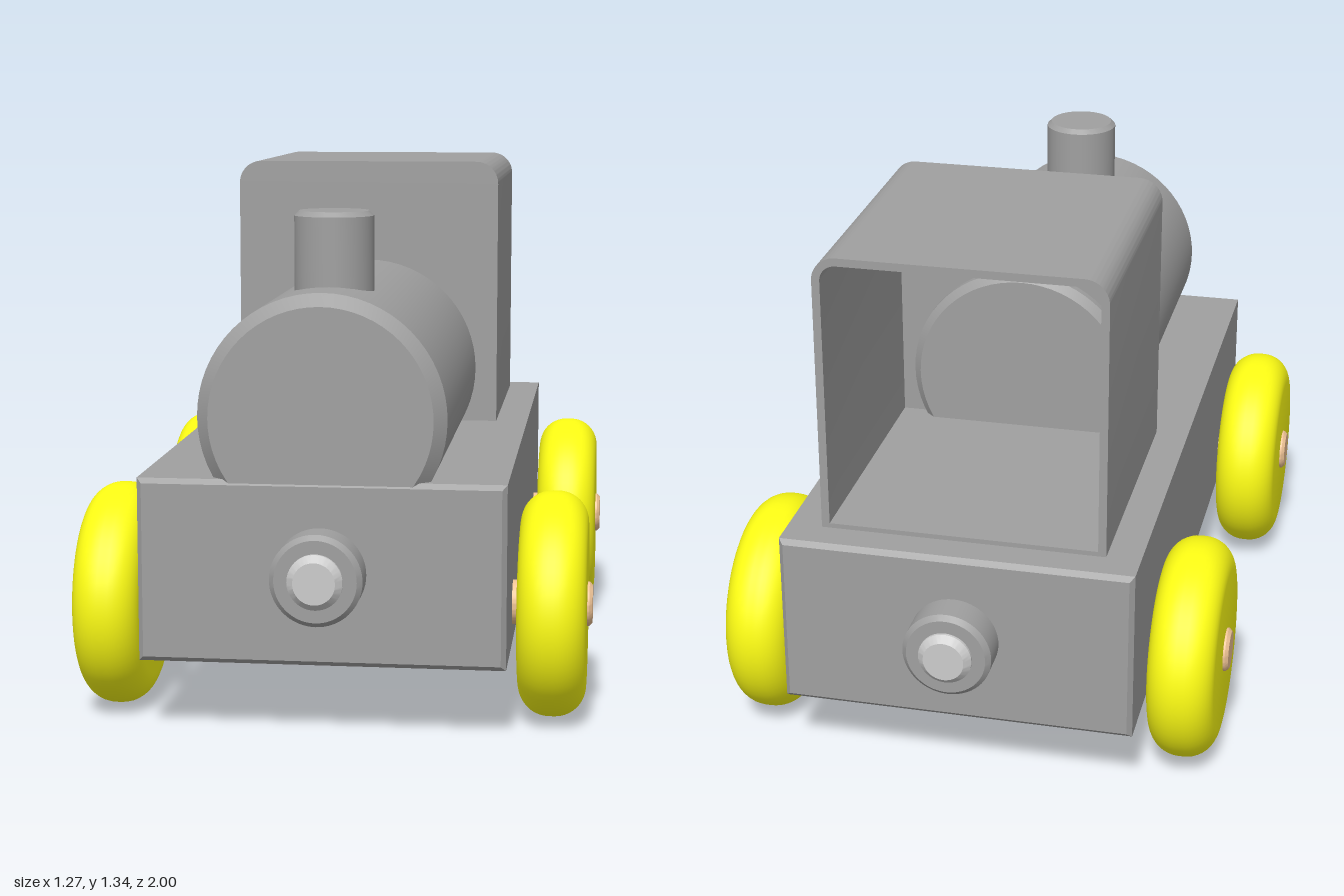
import * as THREE from 'three';
import { toCreasedNormals } from 'three/addons/utils/BufferGeometryUtils.js';

const paint = (color) => new THREE.MeshStandardMaterial({ color });

export function createModel() {
  const model = new THREE.Group();
  const body = paint(0xa0a0a0), cap = paint(0xcccccc);
  const yellow = paint(0xffff14), wood = paint(0xf0c496);

  const add = (name, geometry, material, x = 0, y = 0, z = 0) => {
    const mesh = new THREE.Mesh(toCreasedNormals(geometry, 0.5), material);
    mesh.name = name;
    mesh.position.set(x, y, z);
    model.add(mesh);
    return mesh;
  };

  // Round bar along y from y0 to y1, chamfered by c0 and c1 at its ends
  const bar = (r, y0, y1, c0, c1) => new THREE.LatheGeometry([
    [0, y0], [r - c0, y0], [r, y0 + c0], [r, y1 - c1], [r - c1, y1], [0, y1],
  ].map(([a, b]) => new THREE.Vector2(a, b)), 64);

  // Chassis block with fine chamfers on every edge
  const c = 0.012, hw = 0.44 - c, hh = 0.2225 - c;
  const block = new THREE.Shape([[-hw, -hh], [hw, -hh], [hw, hh], [-hw, hh]].map((p) => new THREE.Vector2(...p)));
  const chassis = new THREE.ExtrudeGeometry(block, {
    depth: 1.78 - 2 * c, bevelEnabled: true, bevelSize: c, bevelThickness: c, bevelSegments: 1,
  });
  add('chassis', chassis.translate(0, 0, c - 0.89), body, 0, 0.4025, 0);

  // Boiler, its rear end reaching slightly into the cab
  add('boiler', bar(0.297, -0.155, 0.886, 0.02, 0.03).rotateX(Math.PI / 2), body, 0, 0.77, 0);
  add('chimney', bar(0.097, 0.95, 1.245, 0, 0.012), body, 0, 0, 0.62);

  // Cab shell: rounded roof edges, open at the back
  const cabOutline = (Type, w, y0, y1, r) => {
    const s = new Type();
    s.moveTo(-w, y0);
    s.lineTo(w, y0);
    s.lineTo(w, y1 - r);
    s.absarc(w - r, y1 - r, r, 0, Math.PI / 2);
    s.lineTo(-w + r, y1);
    s.absarc(-w + r, y1 - r, r, Math.PI / 2, Math.PI);
    s.lineTo(-w, y0);
    return s;
  };
  const cabShell = cabOutline(THREE.Shape, 0.355, 0.615, 1.335, 0.06);
  cabShell.holes.push(cabOutline(THREE.Path, 0.335, 0.637, 1.315, 0.04));
  add('cabShell', new THREE.ExtrudeGeometry(cabShell, { depth: 0.685, bevelEnabled: false, curveSegments: 12 }), body, 0, 0, -0.8);
  add('cabFrontWall', new THREE.ExtrudeGeometry(cabOutline(THREE.Shape, 0.355, 0.615, 1.335, 0.06),
    { depth: 0.025, bevelEnabled: false, curveSegments: 12 }), body, 0, 0, -0.115);

  // Coupling buffers at both ends
  for (const side of [1, -1]) {
    const end = side > 0 ? 'front' : 'rear';
    const turn = side * Math.PI / 2;
    add(end + 'Buffer', bar(0.11, 0.87, 0.977, 0, 0.012).rotateX(turn), body, 0, 0.405, 0);
    add(end + 'BufferCap', bar(0.066, 0.96, 1.0, 0, 0.016).rotateX(turn), cap, 0, 0.405, 0);
  }

  // Wheel profile: flat discs with a generously rounded rim
  const R = 0.278, half = 0.083, round = 0.076;
  const rim = [new THREE.Vector2(0, -half)];
  for (const s of [-1, 1]) {
    for (let i = 0; i <= 10; i++) {
      const a = (s < 0 ? -Math.PI / 2 : 0) + (i / 10) * Math.PI / 2;
      rim.push(new THREE.Vector2(R - round + round * Math.cos(a), s * (half - round) + round * Math.sin(a)));
    }
  }
  rim.push(new THREE.Vector2(0, half));

  // Axles and wheels
  for (const z of [0.585, -0.585]) {
    const end = z > 0 ? 'front' : 'rear';
    add(end + 'Axle', bar(0.055, -0.637, 0.637, 0.008, 0.008).rotateZ(Math.PI / 2), wood, 0, 0.278, z);
    for (const side of [1, -1]) {
      add(end + (side > 0 ? 'Left' : 'Right') + 'Wheel',
        new THREE.LatheGeometry(rim, 64).rotateZ(Math.PI / 2), yellow, side * 0.541, 0.278, z);
    }
  }
  return model;
}
